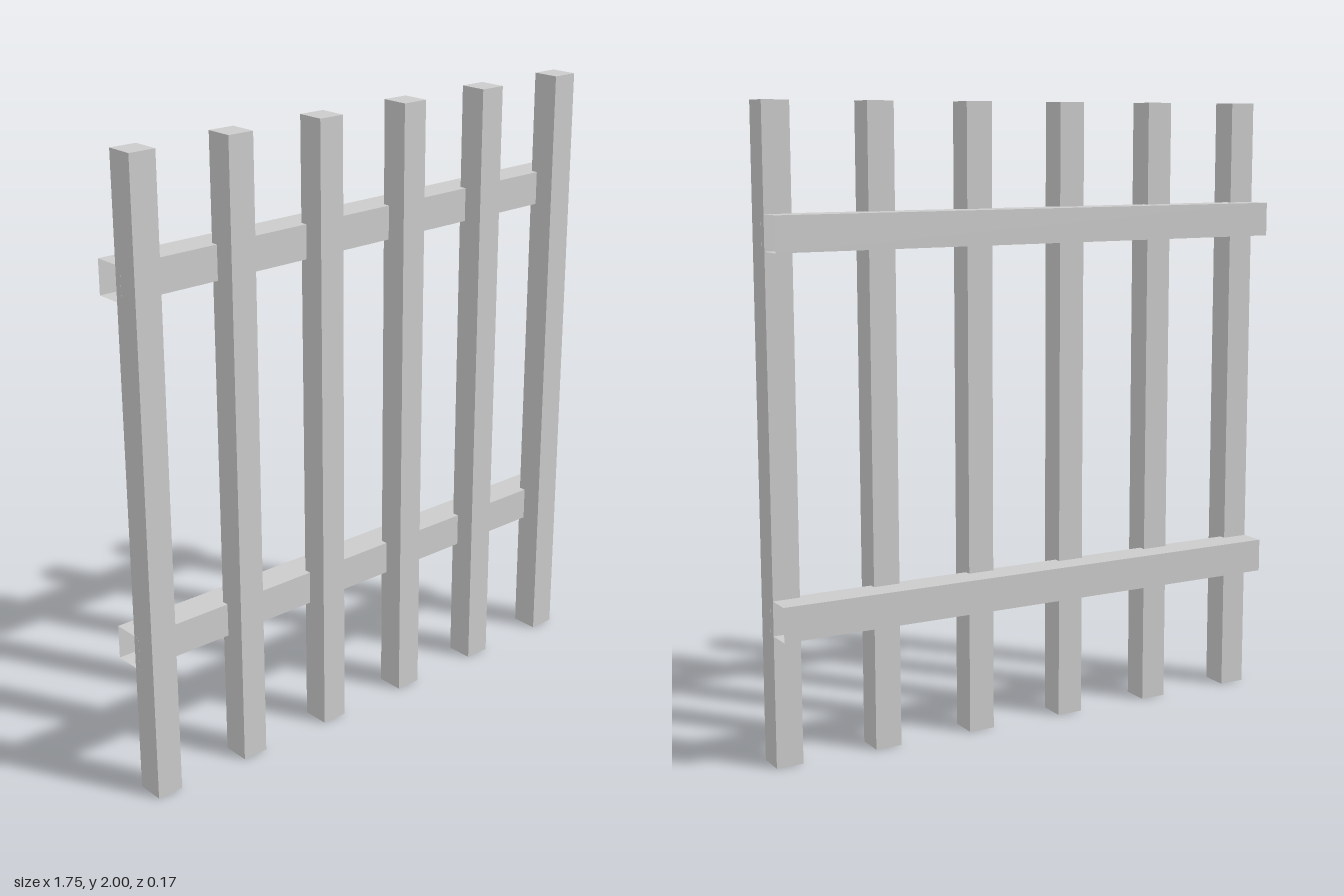
import * as THREE from 'three';

const material = new THREE.MeshStandardMaterial({ color: 0xcccccc, side: THREE.DoubleSide });

// Box without the listed sides (0 +x, 1 -x, 2 +y, 3 -y, 4 +z, 5 -z)
function openBox(width, height, depth, openSides) {
  const geometry = new THREE.BoxGeometry(width, height, depth);
  const index = Array.from(geometry.index.array);
  geometry.setIndex(index.filter((_, i) => !openSides.includes(Math.floor(i / 6))));
  geometry.clearGroups();
  return geometry;
}

export function createModel() {
  const group = new THREE.Group();
  const add = (name, geometry, x, y, z) => {
    const mesh = new THREE.Mesh(geometry, material);
    mesh.name = name;
    mesh.position.set(x, y, z);
    group.add(mesh);
  };

  // Six square pickets, open underneath
  const picket = openBox(0.087, 2, 0.09, [3]);
  for (let i = 0; i < 6; i++) add(`picket${i + 1}`, picket, (i - 2.5) * 0.3325, 1, 0.042);

  // Two rails behind the pickets, open at both ends
  const rail = openBox(1.75, 0.108, 0.107, [0, 1]);
  add('lowerRail', rail, 0, 0.47, -0.034);
  add('upperRail', rail, 0, 1.62, -0.034);

  return group;
}
